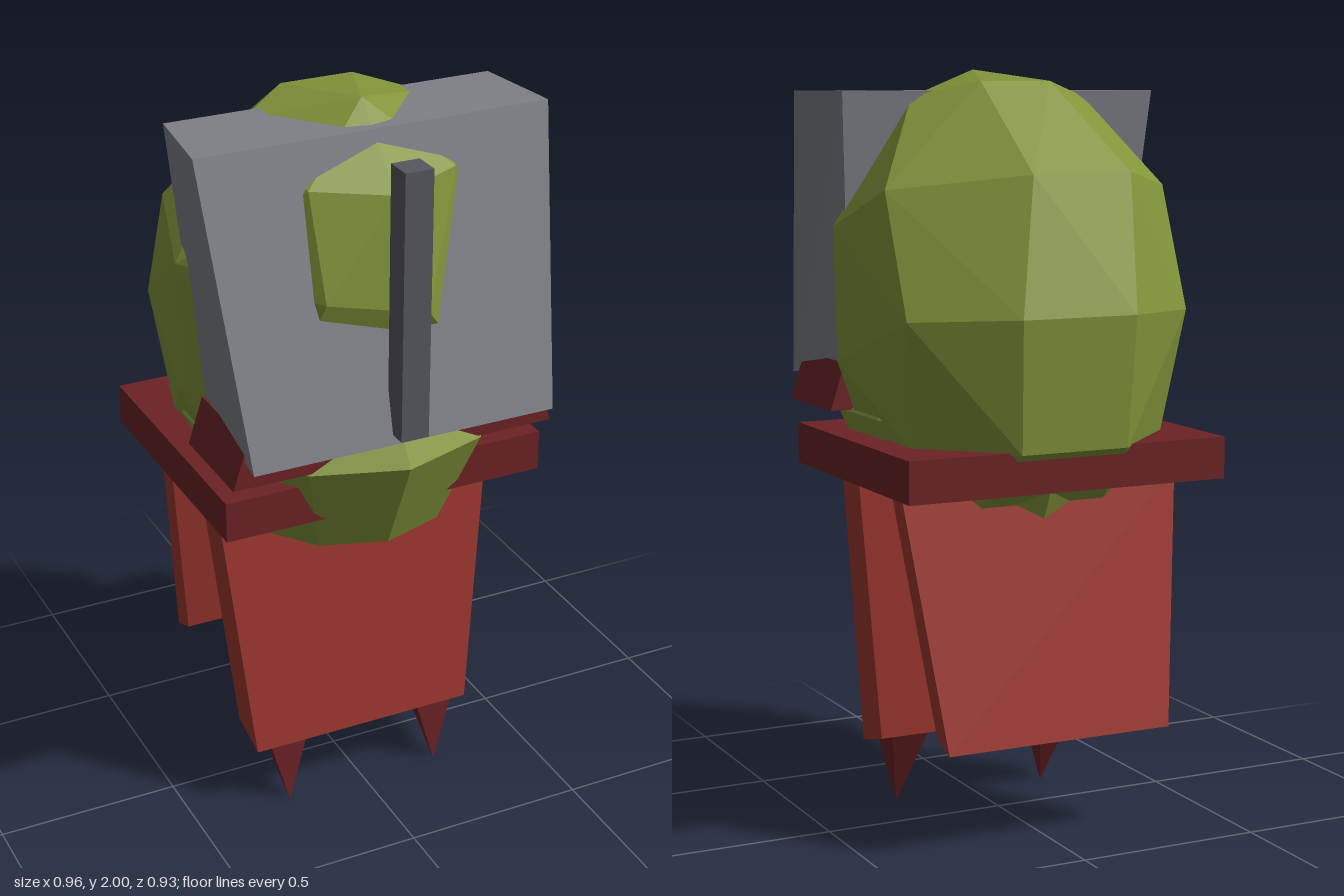
import * as THREE from 'three';
import { ConvexGeometry } from 'three/addons/geometries/ConvexGeometry.js';

const mat = (name, color) => {
  const m = new THREE.MeshStandardMaterial({ color, flatShading: true });
  m.name = name;
  return m;
};

// Six-sided block. Each end is [halfWidth, y, z] for its front and back edge.
function block(bottomFront, bottomBack, topFront, topBack) {
  const g = new THREE.BoxGeometry(2, 2, 2);
  const p = g.attributes.position;
  for (let i = 0; i < p.count; i++) {
    const x = p.getX(i), up = p.getY(i) > 0, front = p.getZ(i) > 0;
    const [w, y, z] = up ? (front ? topFront : topBack) : (front ? bottomFront : bottomBack);
    p.setXYZ(i, x * w, y, z);
  }
  g.computeVertexNormals();
  return g;
}

export function createModel() {
  const green = mat('olive green', 0x82943a);
  const grey = mat('steel grey', 0x7e8087);
  const darkGrey = mat('dark grey', 0x57575f);
  const red = mat('brick red', 0x9e372f);
  const darkRed = mat('dark red', 0x6c2225);

  const model = new THREE.Group();
  const add = (name, geometry, material, x = 0, z = 0) => {
    const m = new THREE.Mesh(geometry, material);
    m.name = name;
    m.position.set(x, 0, z);
    model.add(m);
    return m;
  };

  // Faceted head: mirrored pairs plus a few single points
  const points = [];
  const pairs = [
    [0.10, 1.97, -0.10], [0.25, 1.93, 0.00], [0.40, 1.70, -0.17],
    [0.16, 1.39, -0.465], [0.40, 1.38, -0.30], [0.455, 1.60, 0.04],
    [0.45, 1.25, 0.03], [0.15, 1.05, -0.44], [0.36, 1.05, -0.24],
    [0.36, 1.05, 0.08], [0.18, 0.87, -0.24], [0.20, 1.83, 0.275],
    [0.28, 1.25, 0.25],
  ];
  for (const [x, y, z] of pairs) {
    points.push(new THREE.Vector3(x, y, z), new THREE.Vector3(-x, y, z));
  }
  const singles = [
    [0, 2.0, 0.155], [0.08, 1.74, -0.36], [-0.22, 1.74, -0.32],
    [0, 1.81, 0.345], [0.08, 1.5, 0.38], [-0.19, 1.56, 0.355], [0, 0.86, 0],
  ];
  for (const s of singles) points.push(new THREE.Vector3(...s));
  add('head', new ConvexGeometry(points), green);

  // Jaw bulging through the collar
  const jaw = [[0, 0.755], [0.295, 0.84], [0.415, 1.11], [0.33, 1.24], [0, 1.3]]
    .map(([r, y]) => new THREE.Vector2(r, y));
  add('jaw', new THREE.LatheGeometry(jaw, 10), green, 0, 0.03);

  // Face plate and the bar in front of it
  add('facePlate', block([0.42, 1.18, 0.425], [0.40, 1.22, 0.07],
    [0.48, 1.945, 0.235], [0.45, 1.945, -0.02]), grey);
  add('faceBar', block([0.038, 1.205, 0.465], [0.038, 1.205, 0.39],
    [0.038, 1.915, 0.465], [0.038, 1.915, 0.39]), darkGrey);

  // Collars
  add('upperCollar', block([0.45, 1.115, 0.365], [0.45, 1.115, 0.08],
    [0.41, 1.24, 0.365], [0.41, 1.24, 0.08]), darkRed);
  add('lowerCollar', block([0.45, 0.945, 0.315], [0.45, 0.945, -0.42],
    [0.45, 1.055, 0.315], [0.45, 1.055, -0.42]), darkRed);

  // Tapered body panels
  add('frontPanel', block([0.32, 0.18, 0.187], [0.32, 0.215, 0.063],
    [0.40, 0.96, 0.127], [0.40, 0.96, 0.02]), red);
  add('backPanel', block([0.32, 0.31, -0.295], [0.32, 0.28, -0.37],
    [0.40, 0.96, -0.188], [0.40, 0.96, -0.25]), red);

  // Pointed feet
  for (const side of [-1, 1]) {
    add(side > 0 ? 'leftFoot' : 'rightFoot', block([0.002, 0, 0.187], [0.002, 0, 0.183],
      [0.055, 0.19, 0.183], [0.055, 0.22, 0.08]), darkRed, side * 0.225);
  }
  return model;
}
